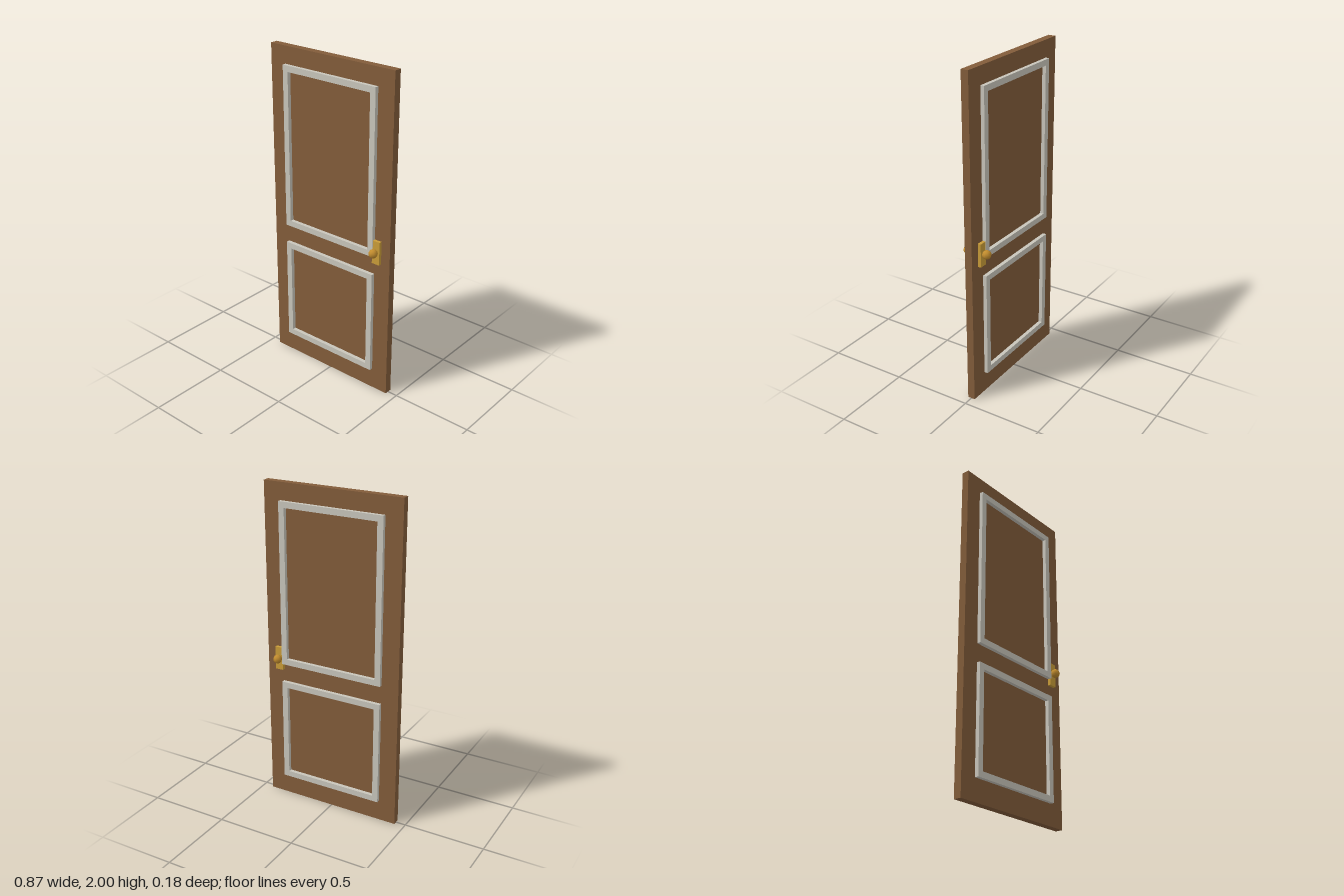
import * as THREE from 'three';

const mat = (name, color) => {
  const m = new THREE.MeshStandardMaterial({ color });
  m.name = name;
  return m;
};

// Rectangular moulding with an open centre, running through the full door depth
function frameGeometry(halfWidth, bottom, top, border, depth) {
  const rect = (path, w, y0, y1) =>
    path.moveTo(-w, y0).lineTo(w, y0).lineTo(w, y1).lineTo(-w, y1).closePath();
  const shape = rect(new THREE.Shape(), halfWidth, bottom, top);
  shape.holes.push(rect(new THREE.Path(), halfWidth - border, bottom + border, top - border));
  return new THREE.ExtrudeGeometry(shape, { depth, bevelEnabled: false });
}

export function createModel() {
  const model = new THREE.Group();
  model.name = 'door';
  const wood = mat('brown wood', 0x825c3a);
  const trim = mat('pale trim', 0xc8c5bb);
  const brass = mat('brass plate', 0xc99c38);
  const knobBrass = mat('brass knob', 0xc18c2e);

  const add = (name, geometry, material, x, y, z) => {
    const mesh = new THREE.Mesh(geometry, material);
    mesh.name = name;
    mesh.position.set(x, y, z);
    model.add(mesh);
  };

  // Door leaf
  add('doorLeaf', new THREE.BoxGeometry(0.874, 2, 0.046), wood, 0, 1, 0);

  // Panel mouldings, front and back
  const mouldings = [['upper', 0.9, 1.896], ['lower', 0.132, 0.784]];
  for (const [label, bottom, top] of mouldings) {
    for (const [side, z] of [['Front', 0.02], ['Back', -0.046]]) {
      add(`${label}Moulding${side}`, frameGeometry(0.33, bottom, top, 0.036, 0.026), trim, 0, 0, z);
    }
  }

  // Handle plates and round knobs on both faces
  for (const [side, s] of [['Front', 1], ['Back', -1]]) {
    add(`handlePlate${side}`, new THREE.BoxGeometry(0.052, 0.144, 0.022), brass, 0.351, 0.932, s * 0.031);
    add(`knob${side}`, new THREE.SphereGeometry(0.027, 8, 8), knobBrass, 0.349, 0.935, s * 0.063);
  }
  return model;
}
